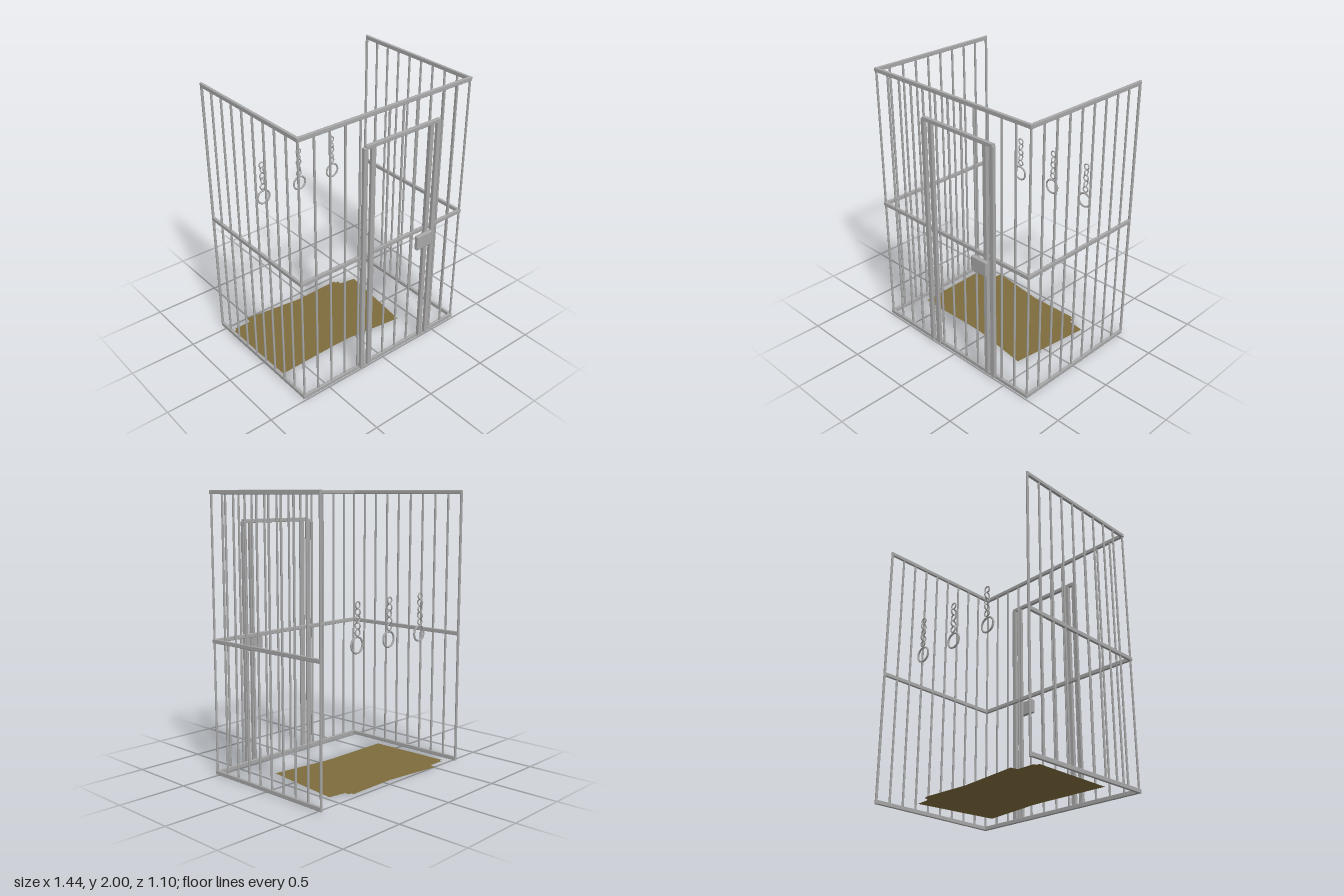
import * as THREE from 'three';
import { RoundedBoxGeometry } from 'three/addons/geometries/RoundedBoxGeometry.js';

export function createModel() {
  const root = new THREE.Group();
  root.name = 'cage';
  const steel = new THREE.MeshStandardMaterial({ color: 0xa8a8a8 });
  steel.name = 'steel';
  const straw = new THREE.MeshStandardMaterial({ color: 0x7d6c3b, side: THREE.DoubleSide });
  straw.name = 'straw';

  const add = (name, geometry, x, y, z, parent = root, material = steel) => {
    const mesh = new THREE.Mesh(geometry, material);
    mesh.name = name;
    mesh.position.set(x, y, z);
    parent.add(mesh);
    return mesh;
  };
  // Box given by its limits, with softened edges
  const block = (name, x0, x1, y0, y1, z0, z1, parent = root, r = 0.004) =>
    add(name, new RoundedBoxGeometry(x1 - x0, y1 - y0, z1 - z0, 1, r),
      (x0 + x1) / 2, (y0 + y1) / 2, (z0 + z1) / 2, parent);

  // Horizontal rails: front and both sides, at three heights
  for (const [y0, y1] of [[0.013, 0.043], [0.957, 0.986], [1.971, 2]]) {
    block('frontRail', -0.72, 0.72, y0, y1, 0.479, 0.501);
    for (const s of [-1, 1]) block('sideRail', s * 0.709 - 0.01, s * 0.709 + 0.01, y0, y1, -0.545, 0.49);
  }

  // Vertical bars
  const barShape = new THREE.CylinderGeometry(0.008, 0.008, 1.96, 10);
  for (let i = 0; i < 13; i++) add('frontBar', barShape, -0.709 + i * 0.1182, 1.006, 0.49);
  for (const s of [-1, 1])
    for (let i = 1; i < 10; i++) add('sideBar', barShape, s * 0.709, 1.006, 0.49 - i * 0.1145);

  // Open end posts
  for (const s of [-1, 1])
    add('endPost', new THREE.CylinderGeometry(0.0095, 0.0095, 1.987, 12), s * 0.709, 1.0065, -0.54);

  // Door with double posts, header and lock box
  const door = new THREE.Group();
  door.name = 'door';
  root.add(door);
  block('frameLeftPost', 0.396, 0.431, 0.035, 1.785, 0.498, 0.524, door);
  block('frameRightPost', -0.231, -0.198, 0.035, 1.785, 0.498, 0.524, door);
  block('gateLeftPost', 0.336, 0.368, 0.035, 1.775, 0.498, 0.522, door);
  block('gateRightPost', -0.167, -0.131, 0.035, 1.775, 0.498, 0.522, door);
  block('header', -0.213, 0.425, 1.77, 1.798, 0.498, 0.524, door);
  block('lockBox', 0.245, 0.386, 0.85, 0.963, 0.518, 0.55, door, 0.009);

  // Hanging chains with cuffs
  const linkShape = new THREE.TorusGeometry(0.021, 0.005, 8, 16);
  const cuffShape = new THREE.TorusGeometry(0.053, 0.007, 8, 28);
  for (const x of [-0.303, 0.024, 0.337]) {
    const chain = new THREE.Group();
    chain.name = 'chain';
    root.add(chain);
    for (let i = 0; i < 5; i++)
      add('link', linkShape, x, 1.279 - i * 0.0447, -0.503, chain).rotation.y = (i % 2) * Math.PI / 2;
    add('cuff', cuffShape, x, 1.018, -0.497, chain);
  }

  // Flat bedding of overlapping sheets, outline in x and z
  const outline = [
    [-0.681, -0.434], [-0.655, -0.436], [-0.655, -0.455], [-0.524, -0.452], [-0.515, -0.502],
    [-0.068, -0.444], [0.311, -0.45], [0.314, -0.43], [0.338, -0.428], [0.338, -0.394],
    [0.466, -0.375], [0.388, 0.24], [-0.048, 0.181], [-0.19, 0.178], [-0.668, 0.185],
  ];
  const shape = new THREE.Shape(outline.map(([x, z]) => new THREE.Vector2(x, -z)));
  add('bedding', new THREE.ShapeGeometry(shape), 0, 0, 0, root, straw).rotation.x = -Math.PI / 2;

  return root;
}
